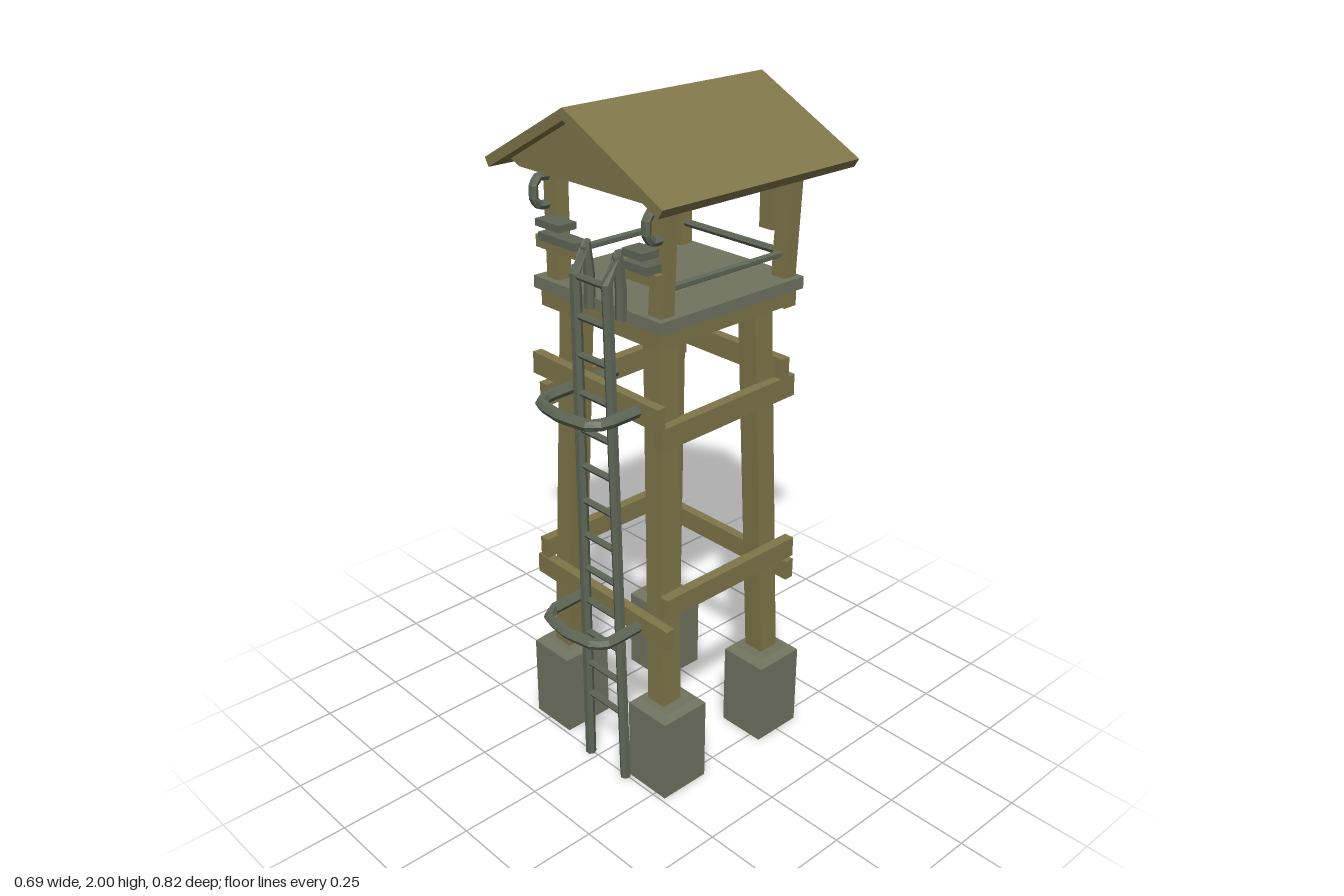
import * as THREE from 'three';

const mat = (name, color) => {
  const m = new THREE.MeshStandardMaterial({ color });
  m.name = name;
  return m;
};

export function createModel() {
  const wood = mat('wood', 0x7f764a);
  const concrete = mat('concrete', 0x70745f);
  const metal = mat('metal', 0x5e6656);
  const model = new THREE.Group();
  const V = (p) => new THREE.Vector3(...p);

  const add = (name, geo, m, pos = [0, 0, 0]) => {
    const mesh = new THREE.Mesh(geo, m);
    mesh.name = name;
    mesh.position.set(...pos);
    model.add(mesh);
    return mesh;
  };
  const box = (name, size, pos, m) => add(name, new THREE.BoxGeometry(...size), m, pos);

  // Timber between two points; w across, h along the local up direction
  const beam = (name, a, b, w, h, m = wood) => {
    const A = V(a), B = V(b);
    const mesh = box(name, [w, h, A.distanceTo(B)], A.clone().add(B).multiplyScalar(0.5).toArray(), m);
    if (Math.abs(B.y - A.y) > Math.hypot(B.x - A.x, B.z - A.z)) mesh.up.set(0, 0, 1);
    mesh.lookAt(B);
    return mesh;
  };

  // Faceted pipe along straight segments
  const pipe = (name, pts, r, sides = 6) => {
    const path = new THREE.CurvePath();
    for (let i = 1; i < pts.length; i++) path.add(new THREE.LineCurve3(V(pts[i - 1]), V(pts[i])));
    const geo = new THREE.TubeGeometry(path, (pts.length - 1) * 4, r, sides).toNonIndexed();
    geo.computeVertexNormals();
    const mesh = add(name, geo, metal);
    const first = V(pts[0]), last = V(pts[pts.length - 1]);
    // end caps
    [[first, V(pts[1])], [last, V(pts[pts.length - 2])]].forEach(([end, next]) => {
      const cap = new THREE.Mesh(new THREE.CircleGeometry(r, sides), metal);
      cap.name = name + 'Cap';
      cap.position.copy(end);
      cap.lookAt(end.clone().multiplyScalar(2).sub(next));
      mesh.add(cap);
    });
    return mesh;
  };

  // Footings, splayed legs and cabin posts
  for (const front of [true, false]) {
    for (const side of [-1, 1]) {
      const fx = side < 0 ? -0.232 : 0.21;
      const fz = front ? 0.155 : -0.25;
      box('footing', [0.155, 0.265, 0.165], [fx, 0.1325, fz], concrete);
      const cap = new THREE.CylinderGeometry(0.085, 0.1096, 0.018, 4, 1).rotateY(Math.PI / 4).toNonIndexed();
      cap.computeVertexNormals();
      add('footingTop', cap, concrete, [fx, 0.274, fz]);
      beam('leg', [side < 0 ? -0.228 : 0.205, 0.25, front ? 0.162 : -0.254],
        [side * 0.17, 1.45, front ? 0.145 : -0.21], 0.066, 0.068);
      beam('cabinPost', [side * 0.205, 1.47, front ? 0.178 : -0.285],
        [side * 0.215, 1.83, front ? 0.172 : -0.292], 0.05, 0.045);
    }
  }

  // Cross braces on the four sides
  beam('upperFrontBrace', [-0.275, 1.227, 0.212], [0.243, 1.215, 0.212], 0.03, 0.065);
  beam('lowerFrontBrace', [-0.285, 0.562, 0.215], [0.285, 0.55, 0.215], 0.03, 0.062);
  beam('upperBackBrace', [-0.24, 1.222, -0.272], [0.24, 1.22, -0.272], 0.03, 0.065);
  beam('lowerBackBrace', [-0.27, 0.568, -0.295], [0.27, 0.565, -0.295], 0.03, 0.062);
  for (const s of [-1, 1]) {
    const reach = s < 0 ? 0.235 : 0.205;
    beam('upperSideBrace', [s * 0.222, 1.147, reach], [s * 0.222, 1.16, -0.315], 0.032, 0.066);
    beam('lowerSideBrace', [s * 0.247, 0.632, reach], [s * 0.247, 0.634, -0.315], 0.032, 0.062);
  }

  // Platform: timber frame and deck slab
  for (const z of [0.185, -0.285]) box('deckBeam', [0.485, 0.05, 0.045], [-0.007, 1.427, z], wood);
  for (const x of [-0.225, 0.21]) box('deckSideBeam', [0.045, 0.048, 0.45], [x, 1.43, -0.05], wood);
  box('deck', [0.515, 0.035, 0.54], [-0.008, 1.47, -0.05], concrete);

  // Railings
  for (const s of [-1, 1]) pipe('sideRail', [[s * 0.205, 1.553, 0.175], [s * 0.205, 1.553, -0.285]], 0.011);
  pipe('backRail', [[-0.205, 1.553, -0.285], [0.205, 1.553, -0.285]], 0.011);
  box('frontRailLeft', [0.13, 0.035, 0.03], [0.17, 1.592, 0.205], wood);
  box('frontRailRight', [0.19, 0.035, 0.03], [-0.155, 1.592, 0.205], wood);
  box('postBoard', [0.05, 0.15, 0.085], [0.168, 1.695, -0.29], wood);

  // Fittings on the front posts
  for (const s of [-1, 1]) {
    const x = s * 0.222;
    pipe('bracket', [[x, 1.77, 0.18], [x, 1.775, 0.225], [x, 1.755, 0.243],
      [x, 1.715, 0.243], [x, 1.695, 0.225], [x, 1.695, 0.18]], 0.013);
  }
  box('upperPlateRight', [0.1, 0.02, 0.06], [-0.155, 1.66, 0.225], metal);
  box('lowerPlateRight', [0.15, 0.022, 0.05], [-0.125, 1.622, 0.225], metal);
  box('upperPlateLeft', [0.075, 0.02, 0.06], [0.18, 1.66, 0.225], metal);
  box('lowerPlateLeft', [0.09, 0.022, 0.05], [0.185, 1.625, 0.225], metal);

  // Ladder with rails hooked over the deck edge
  const railX = [[-0.025, -0.02], [0.135, 0.105]];
  for (const [x0, x1] of railX) {
    pipe('ladderRail', [[x0, 0.005, 0.257], [x1, 1.58, 0.273], [x1, 1.625, 0.262],
      [x1, 1.645, 0.24], [x1, 1.63, 0.226], [x1, 1.46, 0.226]], 0.016);
  }
  for (let i = 0; i < 13; i++) {
    const y = 0.235 + i * 0.1105, t = y / 1.58, z = 0.257 + 0.016 * t;
    pipe('rung', [[-0.025 + 0.005 * t, y, z], [0.135 - 0.03 * t, y, z]], 0.01);
  }

  // Safety hoops around the ladder
  for (const [y, back] of [[0.54, 0.2], [1.217, 0.09]]) {
    pipe('safetyHoop', [[-0.075, y + 0.006, back], [-0.075, y, 0.345], [-0.048, y, 0.382], [0.05, y, 0.395],
      [0.145, y, 0.377], [0.167, y, 0.34], [0.167, y + 0.006, back]], 0.017);
  }

  // Pitched roof slab with enclosed gable
  const extrude = (name, pts, z0, z1) => {
    const shape = new THREE.Shape(pts.map((p) => new THREE.Vector2(...p)));
    return add(name, new THREE.ExtrudeGeometry(shape, { depth: z1 - z0, bevelEnabled: false }), wood, [0, 0, z0]);
  };
  extrude('roof', [[-0.347, 1.817], [-0.332, 1.793], [-0.015, 1.968], [0.33, 1.793], [0.345, 1.817], [-0.015, 2]], -0.41, 0.305);
  extrude('gable', [[-0.285, 1.818], [-0.25, 1.803], [0.235, 1.803], [0.275, 1.82], [-0.015, 1.968]], -0.345, 0.265);

  // Cable hanging below the rear gable
  const cable = [];
  for (let i = 0; i <= 8; i++) {
    const t = i / 4 - 1;
    cable.push([0.005 + t * 0.125, 1.727 + 0.085 * t * t, -0.38]);
  }
  pipe('hangingCable', cable, 0.009);

  return model;
}
